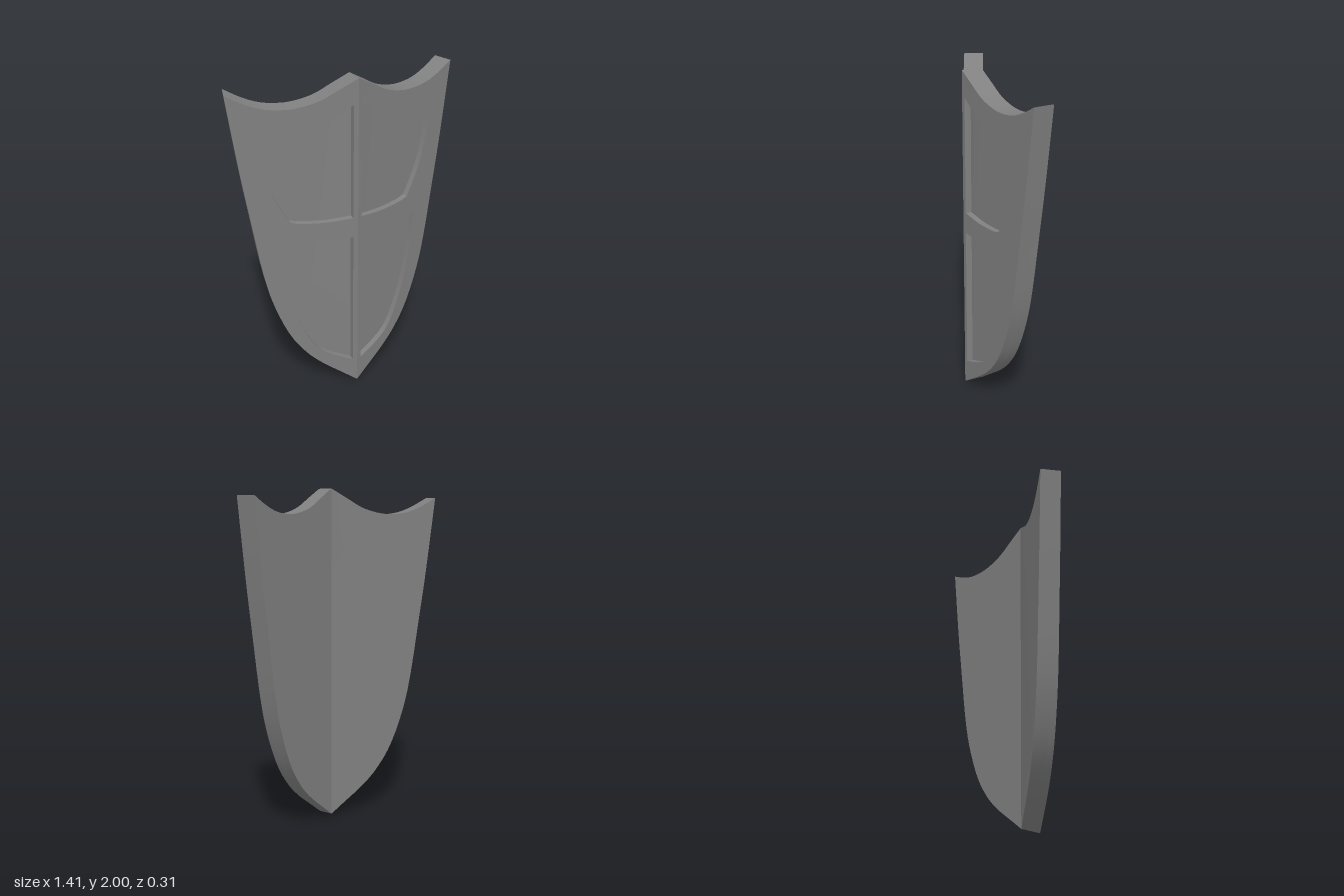
import * as THREE from 'three';
import { toCreasedNormals } from 'three/addons/utils/BufferGeometryUtils.js';

const THICKNESS = 0.117, RECESS = 0.035, SLOPE = 0.27, RIDGE_Z = 0.15;

// Each outline is a list of smooth runs that meet at sharp corners (drawn for x >= 0).
const OUTLINE = [
  [[0, 0], [0.1, 0.075], [0.2, 0.15], [0.3, 0.245], [0.4, 0.39], [0.485, 0.6], [0.54, 0.82], [0.6, 1.2], [0.645, 1.5], [0.703, 1.95]],
  [[0.703, 1.95], [0.6, 1.895], [0.5, 1.86], [0.39, 1.85], [0.3, 1.86], [0.2, 1.89], [0.1, 1.945], [0, 2]],
];
const UPPER_PANEL = [
  [[0.027, 1.85], [0.12, 1.795], [0.24, 1.755], [0.38, 1.735], [0.552, 1.728]],
  [[0.552, 1.728], [0.53, 1.56], [0.49, 1.39], [0.44, 1.27], [0.385, 1.17]],
  [[0.385, 1.17], [0.33, 1.155], [0.18, 1.147], [0.027, 1.16]],
];
const LOWER_PANEL = [
  [[0.027, 1.035], [0.15, 1.03], [0.3, 1.035], [0.45, 1.05]],
  [[0.45, 1.05], [0.43, 0.84], [0.38, 0.6], [0.31, 0.4], [0.24, 0.28], [0.15, 0.215], [0.027, 0.16]],
];

// Sampled closed loop, mirrored by side
function loop(runs, side) {
  return runs.flatMap((run) => {
    const curve = new THREE.SplineCurve(run.map(([x, y]) => new THREE.Vector2(x * side, y)));
    return curve.getPoints(28);
  }).filter((p, i, all) => i === 0 || (p.distanceTo(all[i - 1]) > 1e-5 && p.distanceTo(all[0]) > 1e-5));
}

// Extrude a flat layer between two depths, then fold it back from the centre ridge.
// Both layers follow the same taper, so they meet flush.
function foldedLayer(shape, near, far) {
  const geometry = new THREE.ExtrudeGeometry(shape, { depth: far - near, bevelEnabled: false });
  const pos = geometry.attributes.position;
  for (let i = 0; i < pos.count; i++) {
    const x = pos.getX(i), y = pos.getY(i);
    const depth = far - pos.getZ(i);
    pos.setXYZ(
      i,
      x * (1 - 0.4 * depth),
      y + 0.1 * depth * (1 - y / 2),
      RIDGE_Z - SLOPE * Math.abs(x) - depth,
    );
  }
  return toCreasedNormals(geometry, 0.6);
}

export function createModel() {
  const shield = new THREE.Group();
  shield.name = 'shield';
  const material = new THREE.MeshStandardMaterial({ color: 0x808080 });

  for (const [side, label] of [[1, 'left'], [-1, 'right']]) {
    const half = new THREE.Group();
    half.name = `${label}Half`;

    // Raised border and cross bars around two recessed panels
    const frame = new THREE.Shape(loop(OUTLINE, side));
    frame.holes = [UPPER_PANEL, LOWER_PANEL].map((runs) => new THREE.Path(loop(runs, side)));
    const frameMesh = new THREE.Mesh(foldedLayer(frame, 0, RECESS), material);
    frameMesh.name = `${label}Frame`;

    // Solid plate forming the panel floors and the back
    const plate = new THREE.Shape(loop(OUTLINE, side));
    const plateMesh = new THREE.Mesh(foldedLayer(plate, RECESS, THICKNESS), material);
    plateMesh.name = `${label}BackPlate`;

    half.add(frameMesh, plateMesh);
    shield.add(half);
  }
  return shield;
}
